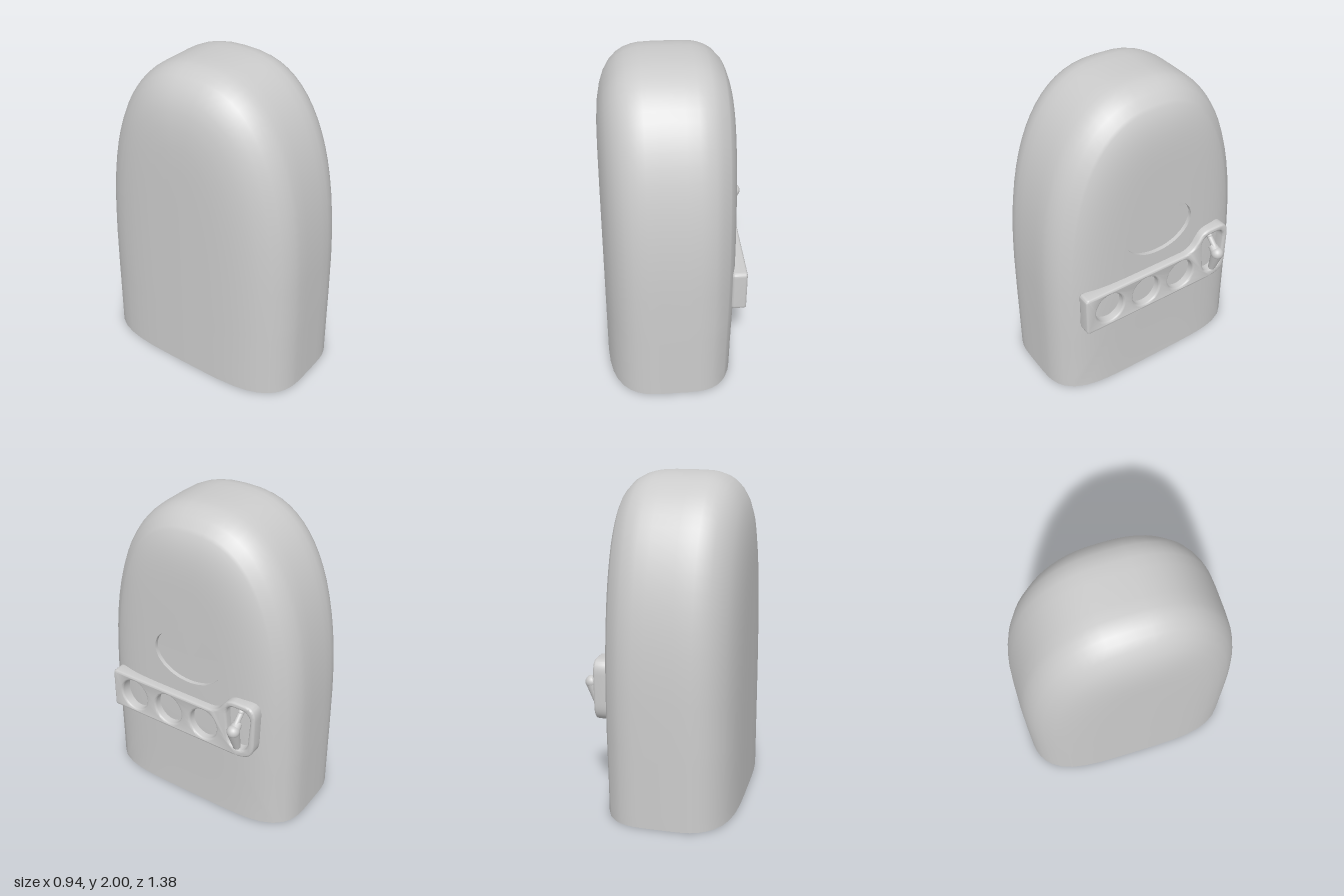
import * as THREE from 'three';
import { mergeVertices, mergeGeometries, toCreasedNormals } from 'three/addons/utils/BufferGeometryUtils.js';

const HALF_Z = 0.69, HEIGHT = 2, SHOULDER = 0.5;
const P = 2.8, Q = 2.5; // arch roundness

// Half width of the arch at height y
const archWidth = (y) => {
  const t = Math.min(1, Math.max(0, (y - SHOULDER) / (HEIGHT - SHOULDER)));
  return HALF_Z * Math.pow(1 - Math.pow(t, P), 1 / Q);
};

// Arch outline from the front foot over the top to the back foot, as [z, y]
function archPoints() {
  const half = [];
  for (let k = 0; k < 6; k++) half.push([HALF_Z, SHOULDER * k / 6]);
  const n = 18;
  for (let k = 0; k <= n; k++) {
    const a = Math.PI / 2 * k / n;
    const c = k === n ? 0 : Math.cos(a);
    half.push([HALF_Z * Math.pow(c, 2 / Q), SHOULDER + (HEIGHT - SHOULDER) * Math.pow(Math.sin(a), 2 / P)]);
  }
  return [...half, ...half.slice(0, -1).reverse().map(([z, y]) => [-z, y])];
}

// Sideways swell of the body for a given distance in from the arch
const swell = (inset, p) => Math.pow(Math.max(0, 1 - Math.pow(1 - inset / HALF_Z, p)), 1 / 2.6);
const leftX = (inset, y) => 0.02 + 0.31 * swell(inset, 5)
  - 0.012 * (1 - THREE.MathUtils.smoothstep(y, 0, 0.8)) * swell(inset, 5);
const rightX = (inset) => -0.14 - 0.33 * swell(inset, 4);

// Distance in from the arch at a point of the side face
function insetAt(z, y) {
  let lo = 0, hi = HALF_Z;
  for (let k = 0; k < 40; k++) {
    const i = (lo + hi) / 2;
    if (archWidth(y / (1 - i / HEIGHT)) * (1 - i / HALF_Z) > Math.abs(z)) lo = i; else hi = i;
  }
  return (lo + hi) / 2;
}

// Surface through rows of equally many [x, y, z] points
function skin(rows) {
  const n = rows[0].length, index = [];
  for (let r = 0; r < rows.length - 1; r++) {
    for (let j = 0; j < n - 1; j++) {
      const a = r * n + j, b = a + n;
      index.push(a, b, a + 1, b, b + 1, a + 1);
    }
  }
  const g = new THREE.BufferGeometry();
  g.setAttribute('position', new THREE.Float32BufferAttribute(rows.flat(2), 3));
  g.setIndex(index);
  return g;
}

function smooth(parts) {
  const g = mergeVertices(mergeGeometries(parts), 1e-4);
  g.computeVertexNormals();
  return g;
}

export function createModel() {
  const group = new THREE.Group();
  const grey = new THREE.MeshStandardMaterial({ color: 0xcccccc, side: THREE.DoubleSide });
  const add = (name, geometry, parent = group) => {
    const mesh = new THREE.Mesh(geometry, grey);
    mesh.name = name;
    parent.add(mesh);
    return mesh;
  };

  // Body shell: inset arches from the right face round to the edge of the left face
  const arch = archPoints();
  const ring = (inset) => arch.map(([z, y]) => [z * (1 - inset / HALF_Z), y * (1 - inset / HEIGHT)]);
  const EDGE = 0.1;
  const rows = [];
  for (const i of [0.69, 0.55, 0.42, 0.31, 0.22, 0.15, 0.09, 0.05, 0.025, 0.01, 0.003, 0]) {
    rows.push(ring(i).map(([z, y]) => [rightX(i), y, z]));
  }
  for (const i of [0, 0.003, 0.01, 0.025, 0.05, EDGE]) {
    rows.push(ring(i).map(([z, y]) => [leftX(i, y), y, z]));
  }

  // Left face: from its closed outline in to the rim of the oval recess
  const outline = ring(EDGE);
  const foot = outline[0][0];
  for (let k = 1; k <= 16; k++) outline.push([-foot + 2 * foot * k / 16, 0]);
  const CY = 1.085, RZ = 0.24, RY = 0.173;
  const rim = outline.map(([z, y]) => {
    const a = Math.atan2((y - CY) / RY, z / RZ);
    return [RZ * Math.cos(a), CY + RY * Math.sin(a)];
  });
  const onFace = ([z, y]) => [leftX(insetAt(z, y), y), y, z];
  const faceRows = [];
  for (let k = 0; k <= 14; k++) {
    const t = Math.pow(k / 14, 1.3);
    faceRows.push(outline.map(([z, y], j) =>
      onFace([z + (rim[j][0] - z) * t, y + (rim[j][1] - y) * t])));
  }
  add('bodyShell', smooth([skin(rows), skin(faceRows)]));

  // Oval recess in the left face
  const DEPTH = 0.025;
  const rimTop = rim.map(onFace);
  const rimLow = rimTop.map(([x, y, z]) => [x - DEPTH, y, z]);
  const centre = onFace([0, CY]);
  const floorMid = rimLow.map(() => [centre[0] - DEPTH, CY, 0]);
  add('recessWall', smooth([skin([rimTop, rimLow])]));
  add('recessFloor', smooth([skin([rimLow, floorMid])]));

  // Side panel, drawn with x running towards the back
  const s = new THREE.Shape();
  s.moveTo(-0.525, 0.545);
  s.lineTo(0.36, 0.545);
  s.bezierCurveTo(0.46, 0.55, 0.5, 0.58, 0.5, 0.68);
  s.lineTo(0.505, 0.85);
  s.bezierCurveTo(0.505, 0.92, 0.48, 0.94, 0.43, 0.94);
  s.lineTo(0.36, 0.94);
  s.bezierCurveTo(0.26, 0.93, 0.29, 0.82, 0.17, 0.815);
  s.lineTo(-0.525, 0.815);
  s.quadraticCurveTo(-0.55, 0.815, -0.55, 0.79);
  s.lineTo(-0.55, 0.57);
  s.quadraticCurveTo(-0.55, 0.545, -0.525, 0.545);
  for (const u of [-0.385, -0.122, 0.14]) {
    const hole = new THREE.Path();
    hole.absellipse(u, 0.68, 0.098, 0.107, 0, Math.PI * 2, true);
    s.holes.push(hole);
  }
  const slot = new THREE.Path();
  slot.moveTo(0.37, 0.9);
  slot.lineTo(0.41, 0.9);
  slot.quadraticCurveTo(0.472, 0.9, 0.472, 0.83);
  slot.lineTo(0.46, 0.67);
  slot.quadraticCurveTo(0.45, 0.6, 0.39, 0.6);
  slot.quadraticCurveTo(0.325, 0.6, 0.318, 0.67);
  slot.lineTo(0.305, 0.83);
  slot.quadraticCurveTo(0.305, 0.9, 0.37, 0.9);
  s.holes.push(slot);
  const panel = new THREE.ExtrudeGeometry(s, {
    depth: 0.06, bevelThickness: 0.015, bevelSize: 0.013, bevelOffset: -0.013,
    bevelSegments: 3, curveSegments: 14,
  });
  panel.rotateY(Math.PI / 2).translate(0.305, 0, 0);
  add('sidePanel', toCreasedNormals(panel, 0.7));

  // Lever in the slot
  const lever = new THREE.Group();
  lever.name = 'lever';
  lever.position.z = -0.39;
  group.add(lever);
  const rod = (name, from, to, r0, r1) => {
    const a = new THREE.Vector3(...from, 0), b = new THREE.Vector3(...to, 0);
    const d = b.clone().sub(a);
    const mesh = add(name, new THREE.CylinderGeometry(r1, r0, d.length(), 20), lever);
    mesh.position.copy(a).add(b).multiplyScalar(0.5);
    mesh.quaternion.setFromUnitVectors(new THREE.Vector3(0, 1, 0), d.normalize());
  };
  const ball = (name, x, y, r) =>
    add(name, new THREE.SphereGeometry(r, 20, 14), lever).position.set(x, y, 0);
  rod('leverArm', [0.385, 0.635], [0.425, 0.77], 0.024, 0.039);
  ball('leverTip', 0.385, 0.635, 0.024);
  ball('leverKnob', 0.425, 0.77, 0.04);
  rod('leverNeck', [0.375, 0.8], [0.425, 0.77], 0.028, 0.036);
  rod('leverPin', [0.33, 0.865], [0.4, 0.8], 0.018, 0.018);
  ball('leverPinEnd', 0.34, 0.86, 0.02);
  return group;
}
